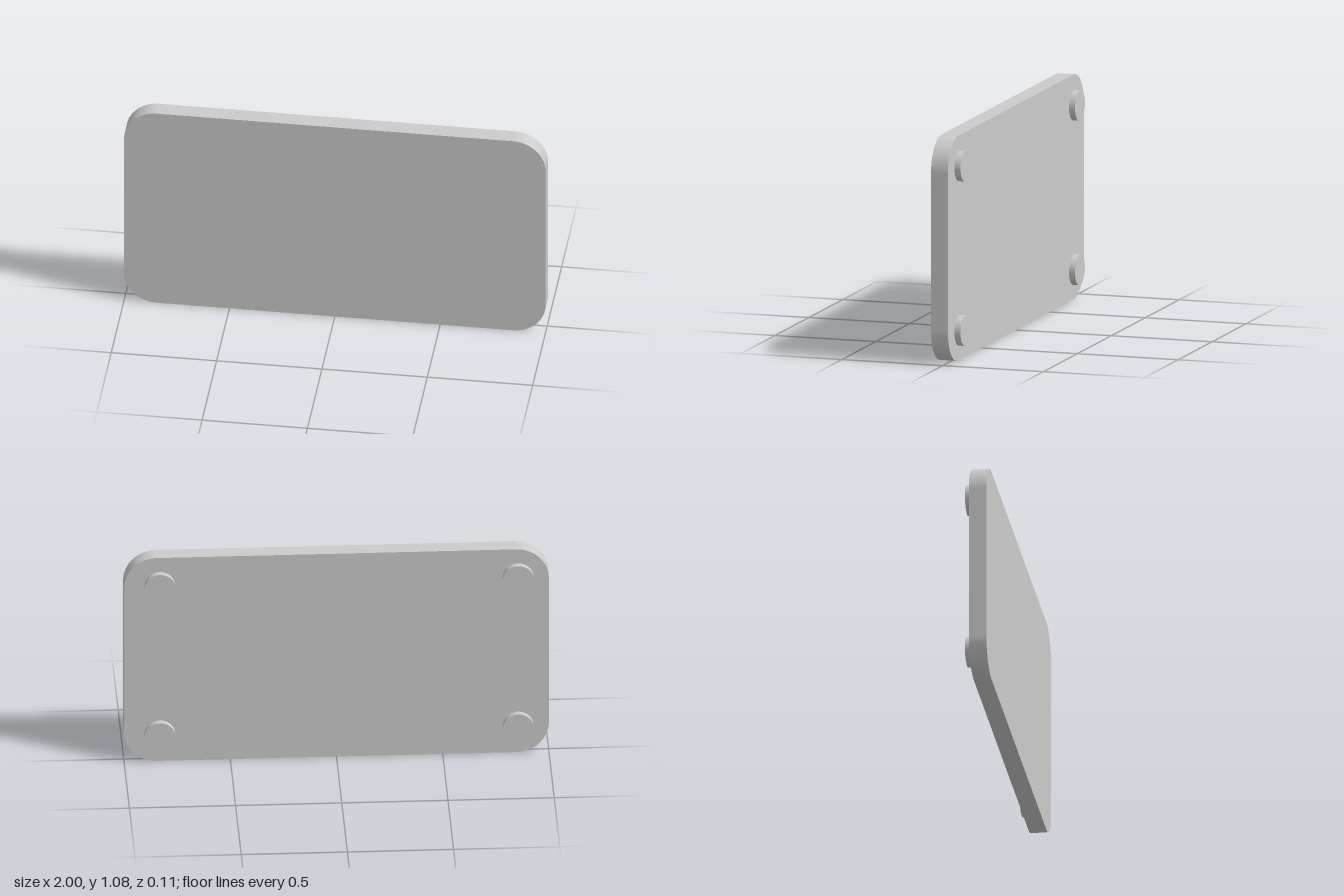
import * as THREE from 'three';

const W = 2, H = 1.075, R = 0.155;
const BACK = -0.027, FRONT = 0.057, PAD_BACK = -0.057;

// Rounded rectangle outline standing on y = 0
function plateShape() {
  const s = new THREE.Shape();
  const x = W / 2 - R, y = H - R;
  s.absarc(x, R, R, -Math.PI / 2, 0);
  s.absarc(x, y, R, 0, Math.PI / 2);
  s.absarc(-x, y, R, Math.PI / 2, Math.PI);
  s.absarc(-x, R, R, Math.PI, Math.PI * 1.5);
  s.closePath();
  return s;
}

export function createModel() {
  const group = new THREE.Group();
  const material = new THREE.MeshStandardMaterial({ color: 0xcccccc });

  // Flat plate with rounded corners
  const plateGeometry = new THREE.ExtrudeGeometry(plateShape(), {
    depth: FRONT - BACK, bevelEnabled: false, curveSegments: 24,
  });
  const plate = new THREE.Mesh(plateGeometry, material);
  plate.name = 'plate';
  plate.position.z = BACK;
  group.add(plate);

  // Four round pads on the back
  const padGeometry = new THREE.CylinderGeometry(0.0725, 0.0725, BACK - PAD_BACK, 48);
  padGeometry.rotateX(Math.PI / 2);
  for (const [side, x] of [['right', -0.855], ['left', 0.832]]) {
    for (const [level, y] of [['Lower', 0.142], ['Upper', 0.928]]) {
      const pad = new THREE.Mesh(padGeometry, material);
      pad.name = side + level + 'Pad';
      pad.position.set(x, y, (BACK + PAD_BACK) / 2);
      group.add(pad);
    }
  }
  return group;
}
